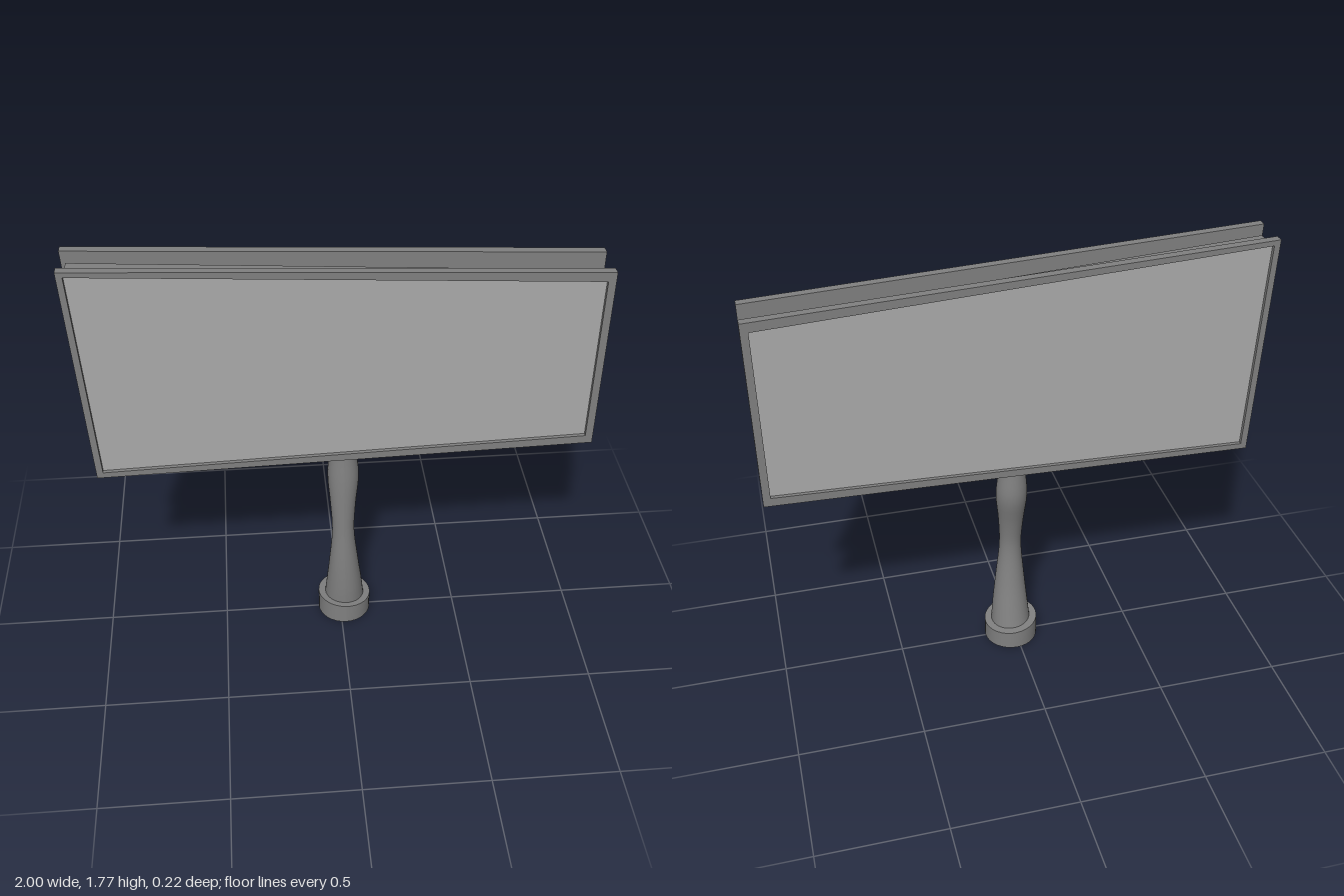
import * as THREE from 'three';

export function createModel() {
  const model = new THREE.Group();
  model.name = 'billboard';

  const mat = (name, color) => {
    const m = new THREE.MeshStandardMaterial({ color });
    m.name = name;
    return m;
  };
  const steel = mat('steel grey', 0x808080);
  const panelGrey = mat('panel grey', 0xaaaaaa);
  const black = mat('black', 0x0a0a0a);

  const add = (name, geometry, material) => {
    const mesh = new THREE.Mesh(geometry, material);
    mesh.name = name;
    model.add(mesh);
  };

  // Skewed four-sided plate between two depths, optionally with a hole
  const plate = (corners, z0, z1, hole) => {
    const toPoints = (c) => c.map(([x, y]) => new THREE.Vector2(x, y));
    const shape = new THREE.Shape(toPoints(corners));
    if (hole) shape.holes.push(new THREE.Path(toPoints(hole)));
    const geometry = new THREE.ExtrudeGeometry(shape, { depth: z1 - z0, bevelEnabled: false });
    return geometry.translate(0, 0, z0);
  };

  // Corners: bottom left, bottom right, top right, top left
  const outer = [[-0.96, 0.86], [1, 0.91], [1, 1.68], [-1, 1.775]];
  const inner = [[-0.935, 0.885], [0.97, 0.945], [0.97, 1.643], [-0.975, 1.753]];
  const core = [[-0.937, 0.895], [0.96, 0.955], [0.96, 1.63], [-0.975, 1.748]];
  const spacer = [[-0.915, 0.918], [0.935, 0.978], [0.935, 1.608], [-0.95, 1.72]];

  // Sandwich: middle plate, dark spacers, then a framed panel on each side
  add('middlePlate', plate(core, -0.02, 0.02), steel);
  for (const [side, s] of [['front', 1], ['back', -1]]) {
    const layer = (corners, a, b, hole) =>
      plate(corners, Math.min(s * a, s * b), Math.max(s * a, s * b), hole);
    add(side + 'Spacer', layer(spacer, 0.02, 0.06), black);
    add(side + 'Backing', layer(outer, 0.06, 0.077), steel);
    add(side + 'Frame', layer(outer, 0.077, 0.095, inner), steel);
    add(side + 'Panel', layer(inner, 0.077, 0.08), panelGrey);
  }

  // Bent, waisted post: centre x, y, centre z, radius
  const sections = [
    [0.018, 0.06, 0.0, 0.085],
    [0.017, 0.16, 0.013, 0.076],
    [0.014, 0.3, 0.026, 0.061],
    [0.011, 0.47, 0.03, 0.046],
    [0.011, 0.6, 0.018, 0.052],
    [0.013, 0.74, -0.002, 0.064],
    [0.011, 0.86, -0.004, 0.054],
    [0.01, 0.95, -0.002, 0.05],
  ];
  const centre = new THREE.CatmullRomCurve3(sections.map(([x, y, z]) => new THREE.Vector3(x, y, z)));
  const radius = new THREE.CatmullRomCurve3(sections.map(([, y, , r]) => new THREE.Vector3(r, y, 0)));
  const post = new THREE.CylinderGeometry(1, 1, 1, 32, 28);
  const pos = post.attributes.position;
  for (let i = 0; i < pos.count; i++) {
    const t = THREE.MathUtils.clamp(pos.getY(i) + 0.5, 0, 1);
    const c = centre.getPoint(t);
    const r = radius.getPoint(t).x;
    pos.setXYZ(i, c.x + pos.getX(i) * r, c.y, c.z + pos.getZ(i) * r);
  }
  post.computeVertexNormals();
  add('post', post, steel);

  // Round foot with a slightly tilted top
  const foot = new THREE.CylinderGeometry(0.112, 0.112, 0.087, 32);
  foot.translate(0, 0.0435, 0);
  const fp = foot.attributes.position;
  for (let i = 0; i < fp.count; i++) {
    if (fp.getY(i) > 0.04) fp.setY(i, 0.087 - 0.07 * fp.getX(i) + 0.04 * fp.getZ(i));
  }
  foot.computeVertexNormals();
  foot.translate(0.018, 0, 0);
  add('foot', foot, steel);

  return model;
}
